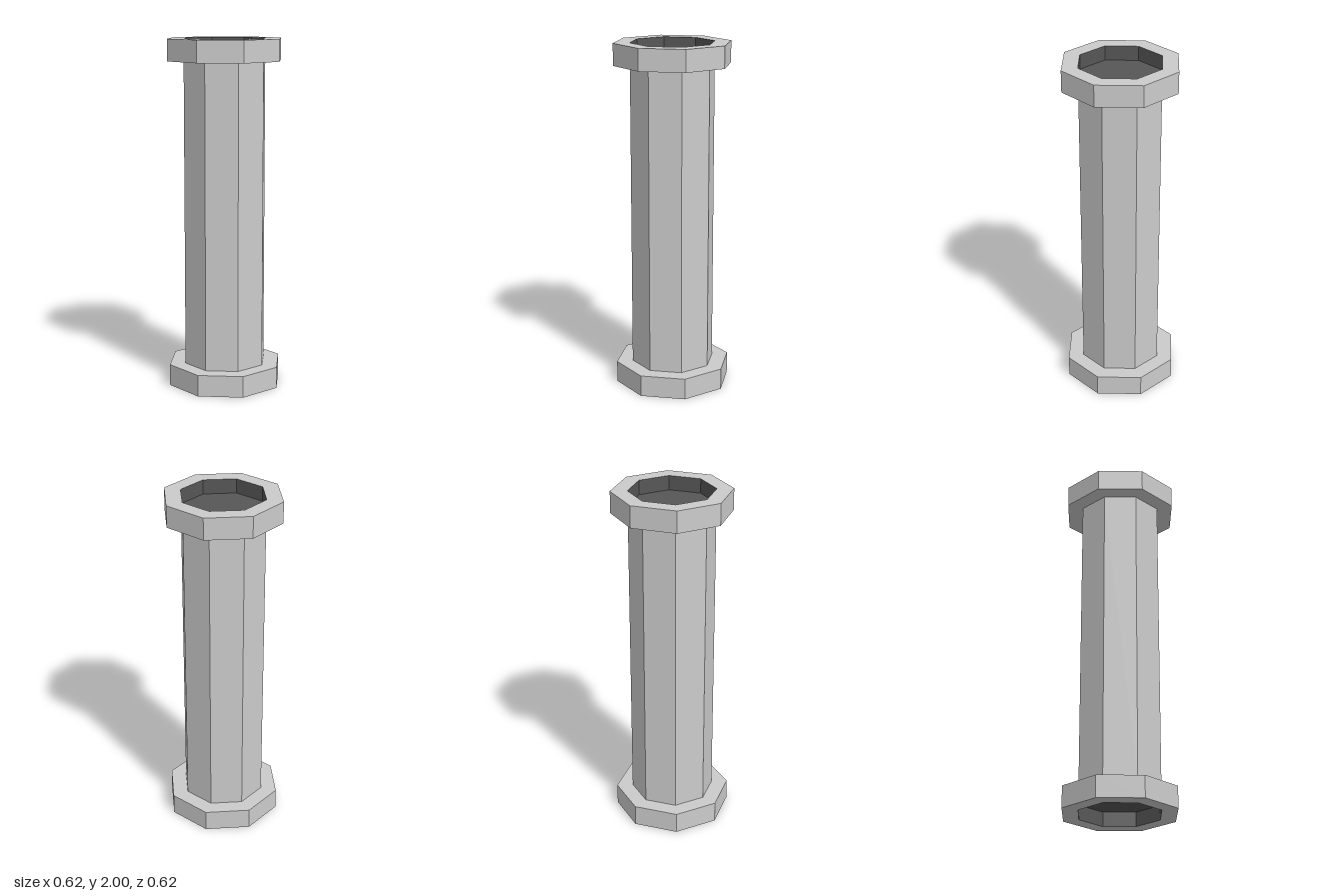
import * as THREE from 'three';

const SIDES = 8;
const HEIGHT = 2;
const RIM_HEIGHT = 0.124;
const SOCKET_DEPTH = 0.083;
// flat-to-centre distances converted to corner radii
const toCorner = (apothem) => apothem / Math.cos(Math.PI / SIDES);
const RIM_RADIUS = toCorner(0.31);
const SHAFT_RADIUS = toCorner(0.223);

// Octagonal solid of revolution with a flat side facing the front
function octagonal(name, profile, material) {
  const points = profile.map(([r, y]) => new THREE.Vector2(r, y));
  const geometry = new THREE.LatheGeometry(points, SIDES, Math.PI / SIDES);
  const mesh = new THREE.Mesh(geometry, material);
  mesh.name = name;
  return mesh;
}

export function createModel() {
  const grey = new THREE.MeshStandardMaterial({ color: 0xcccccc, flatShading: true });
  const dark = new THREE.MeshStandardMaterial({ color: 0x565656, flatShading: true });

  const model = new THREE.Group();
  model.name = 'pipe';

  const half = HEIGHT / 2;
  const body = new THREE.Group();
  body.name = 'body';
  body.position.y = half;
  model.add(body);

  // Long shaft between the two rims
  const shaftEnd = half - RIM_HEIGHT;
  body.add(octagonal('shaft', [[SHAFT_RADIUS, -shaftEnd], [SHAFT_RADIUS, shaftEnd]], grey));

  // Matching ends: a wide rim around a shallow dark socket
  for (const [name, turn] of [['topEnd', 0], ['bottomEnd', Math.PI]]) {
    const end = new THREE.Group();
    end.name = name;
    end.rotation.x = turn;
    end.add(octagonal('rim', [
      [SHAFT_RADIUS, shaftEnd], [RIM_RADIUS, shaftEnd],
      [RIM_RADIUS, half], [SHAFT_RADIUS, half],
    ], grey));
    end.add(octagonal('socket', [
      [SHAFT_RADIUS, half], [SHAFT_RADIUS, half - SOCKET_DEPTH], [0, half - SOCKET_DEPTH],
    ], dark));
    body.add(end);
  }
  return model;
}
